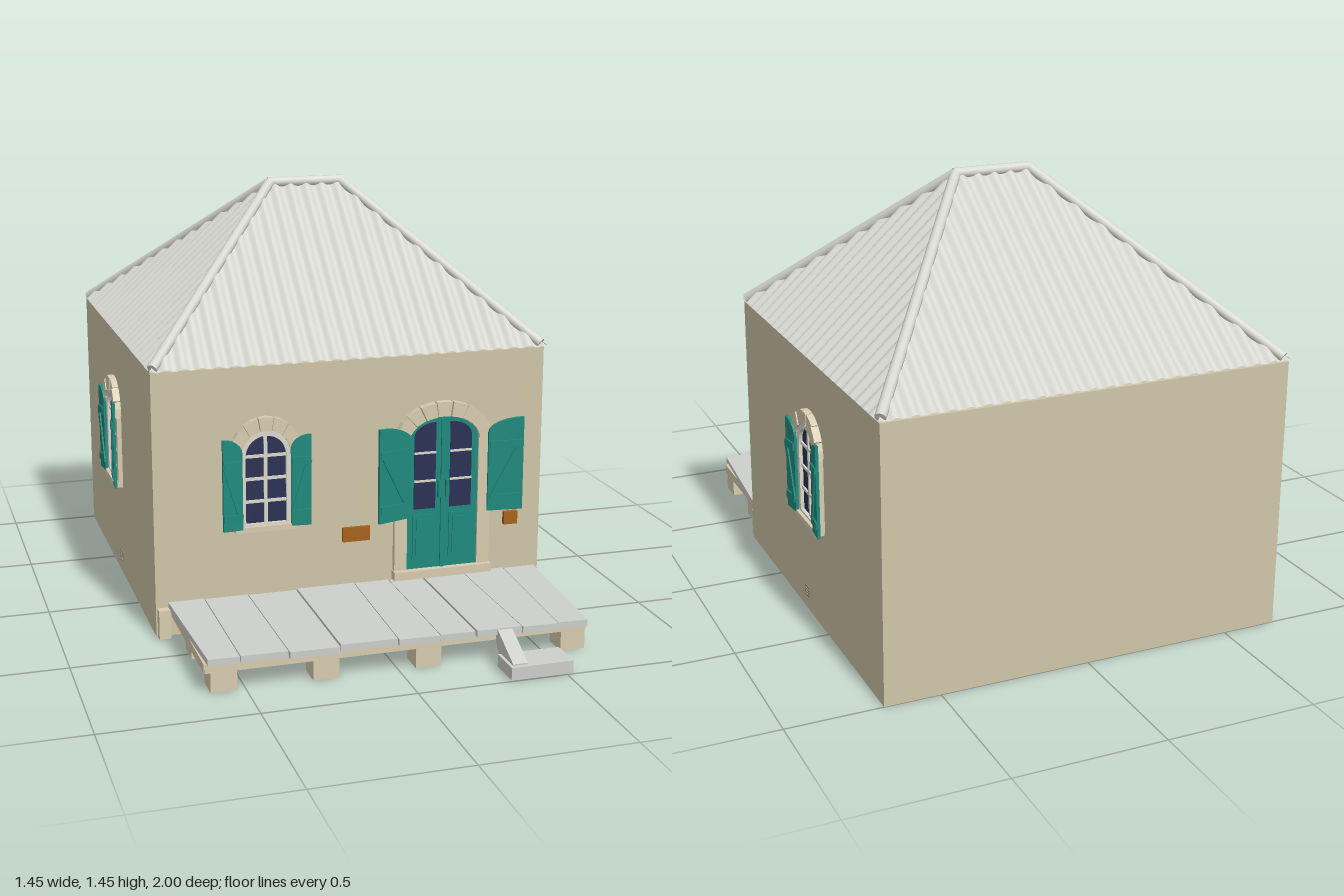
import * as THREE from 'three';

const mat = (name, color, side = THREE.FrontSide) => {
  const m = new THREE.MeshStandardMaterial({ color, side });
  m.name = name;
  return m;
};

export function createModel() {
  const M = {
    plaster: mat('plaster', 0xcfc5a8),
    stone: mat('trimStone', 0xd8ccb0),
    roof: mat('roofMetal', 0xd8d8d3, THREE.DoubleSide),
    teal: mat('tealPaint', 0x1f8a7d),
    glass: mat('glass', 0x2b3154),
    white: mat('windowPaint', 0xdcd8cc),
    deck: mat('deckWood', 0xcdcfcc),
    brown: mat('signWood', 0xa8621c),
    vent: mat('ventGrey', 0x857f74),
  };
  const model = new THREE.Group();
  model.name = 'cottage';

  // ---- helpers ----
  const add = (parent, name, geo, material, x = 0, y = 0, z = 0) => {
    const m = new THREE.Mesh(geo, material);
    m.name = name;
    m.position.set(x, y, z);
    parent.add(m);
    return m;
  };
  const group = (parent, name, x = 0, y = 0, z = 0, ry = 0) => {
    const g = new THREE.Group();
    g.name = name;
    g.position.set(x, y, z);
    g.rotation.y = ry;
    parent.add(g);
    return g;
  };
  const box = (parent, name, material, w, h, d, x, y, z) =>
    add(parent, name, new THREE.BoxGeometry(w, h, d), material, x, y, z);
  const V = (x, y, z) => new THREE.Vector3(x, y, z);
  const shape = (pts) => new THREE.Shape(pts.map(([x, y]) => new THREE.Vector2(x, y)));
  const extrude = (s, depth) => new THREE.ExtrudeGeometry(s, { depth, bevelEnabled: false });
  const rect = (x0, y0, x1, y1) => [[x0, y0], [x1, y0], [x1, y1], [x0, y1]];

  // Arched outline: width, total height, rise of the elliptical top
  const archPts = (w, h, rise, y0 = 0) => {
    const pts = [[-w / 2, y0], [w / 2, y0]];
    for (let i = 0; i <= 16; i++) {
      const a = (i / 16) * Math.PI;
      pts.push([(w / 2) * Math.cos(a), h - rise + rise * Math.sin(a)]);
    }
    return pts;
  };
  const ring = (outer, inner) => {
    const s = shape(outer);
    s.holes.push(shape(inner));
    return s;
  };
  // Half-arch leaf: low at x = 0, tall at the far edge, growing toward d
  const leafPts = (w, h, drop, d) => {
    const pts = [[0, 0], [d * w, 0]];
    for (let i = 0; i <= 6; i++) {
      const a = Math.PI / 2 * (1 - i / 6);
      pts.push([d * w * (1 - Math.cos(a)), h - drop + drop * Math.sin(a)]);
    }
    return pts;
  };
  // Wedge stones between two concentric arches, each [width, height, rise]
  const archStones = (parent, n, inner, outer, depth) => {
    const at = ([w, h, r], a) => [(w / 2) * Math.cos(a), h - r + r * Math.sin(a)];
    for (let i = 0; i < n; i++) {
      const a0 = (i / n) * Math.PI + 0.012, a1 = ((i + 1) / n) * Math.PI - 0.012, am = (a0 + a1) / 2;
      const s = shape([at(inner, a0), at(outer, a0), at(outer, am), at(outer, a1), at(inner, a1), at(inner, am)]);
      add(parent, 'archStone', extrude(s, depth + (i % 2) * 0.003), M.stone);
    }
  };
  // Shutter with rails and a diagonal brace
  const shutter = (parent, x, y, z, d, w, h, drop, angle) => {
    const g = group(parent, 'shutter', x, y, z, -d * angle);
    add(g, 'shutterLeaf', extrude(shape(leafPts(w, h, drop, d)), 0.01), M.teal);
    const y0 = h * 0.14, y1 = h * 0.72, run = w * 0.8;
    for (const ry of [y0, y1]) box(g, 'shutterRail', M.teal, w * 0.92, 0.026, 0.006, d * w / 2, ry, 0.012);
    const b = box(g, 'shutterBrace', M.teal, Math.hypot(run, y1 - y0), 0.018, 0.006, d * w / 2, (y0 + y1) / 2, 0.012);
    b.rotation.z = d * Math.atan2(y1 - y0, run);
  };

  // ---- walls: hollow shell, open underneath ----
  const wallGeo = extrude(ring(rect(-0.685, -1, 0.685, 0.325), rect(-0.66, -0.975, 0.66, 0.3)), 0.905);
  add(model, 'walls', wallGeo.rotateX(Math.PI / 2), M.plaster, 0, 0.905, 0);

  // ---- corrugated hip roof ----
  const roof = group(model, 'roof');
  const EX = 0.688, ZF = 0.33, ZB = -0.995, EY = 0.908, RX = 0.13, RY = 1.428, RZ = -0.258;
  const roofPanel = (name, origin, along, up, s0, a, b, s1) => {
    const normal = along.clone().cross(up).normalize();
    const n = Math.round((s1 - s0) / 0.0575) * 8, pos = [], idx = [];
    for (let i = 0; i <= n; i++) {
      const s = s0 + (s1 - s0) * (i / n);
      const t = Math.max(0, Math.min(1, (s - s0) / (a - s0), (s1 - s) / (s1 - b)));
      const wave = 0.007 * Math.cos((i / 8) * Math.PI * 2);
      for (const k of [0, t]) {
        const p = origin.clone().addScaledVector(along, s).addScaledVector(up, k).addScaledVector(normal, wave);
        pos.push(p.x, p.y, p.z);
      }
      if (i < n) idx.push(2 * i, 2 * i + 2, 2 * i + 3, 2 * i, 2 * i + 3, 2 * i + 1);
    }
    const g = new THREE.BufferGeometry();
    g.setAttribute('position', new THREE.Float32BufferAttribute(pos, 3));
    g.setIndex(idx);
    g.computeVertexNormals();
    add(roof, name, g, M.roof);
  };
  const rise = RY - EY;
  roofPanel('frontRoof', V(0, EY, ZF), V(1, 0, 0), V(0, rise, RZ - ZF), -EX, -RX, RX, EX);
  roofPanel('backRoof', V(0, EY, ZB), V(-1, 0, 0), V(0, rise, RZ - ZB), -EX, -RX, RX, EX);
  roofPanel('leftRoof', V(EX, EY, 0), V(0, 0, -1), V(RX - EX, rise, 0), -ZF, -RZ, -RZ, -ZB);
  roofPanel('rightRoof', V(-EX, EY, 0), V(0, 0, 1), V(EX - RX, rise, 0), ZB, RZ, RZ, ZF);

  // Rounded caps over the hips and ridge
  const cap = (name, p, q) => {
    const c = add(roof, name, new THREE.CylinderGeometry(0.018, 0.018, p.distanceTo(q), 10), M.roof);
    c.position.copy(p).add(q).multiplyScalar(0.5);
    c.quaternion.setFromUnitVectors(V(0, 1, 0), q.clone().sub(p).normalize());
  };
  for (const sx of [-1, 1]) for (const z of [ZF - 0.012, ZB + 0.012])
    cap('hipCap', V(sx * (EX - 0.012), EY + 0.008, z), V(sx * RX, RY, RZ));
  cap('ridgeCap', V(-RX - 0.008, RY, RZ), V(RX + 0.008, RY, RZ));

  // ---- arched windows with shutters ----
  const windowUnit = (name, x, z, ry) => {
    const g = group(model, name, x, 0.355, z, ry);
    add(g, 'glass', extrude(shape(archPts(0.15, 0.32, 0.075)), 0.006), M.glass);
    add(g, 'windowFrame', extrude(ring(archPts(0.172, 0.332, 0.086), archPts(0.14, 0.316, 0.07, 0.014)), 0.018), M.white);
    box(g, 'mullion', M.white, 0.012, 0.31, 0.008, 0, 0.162, 0.008);
    for (const y of [0.09, 0.168, 0.246]) box(g, 'glazingBar', M.white, 0.145, 0.01, 0.008, 0, y, 0.008);
    archStones(g, 7, [0.174, 0.333, 0.087], [0.245, 0.38, 0.125], 0.022);
    box(g, 'sill', M.stone, 0.22, 0.018, 0.03, 0, -0.002, 0.015);
    for (const d of [-1, 1]) {
      box(g, 'jamb', M.stone, 0.03, 0.25, 0.016, d * 0.102, 0.125, 0.008);
      shutter(g, d * 0.084, 0, 0.02, d, 0.068, 0.315, 0.05, 0.1);
    }
  };
  windowUnit('frontWindow', -0.307, 0.325, 0);
  windowUnit('leftWindow', 0.685, -0.375, Math.PI / 2);
  windowUnit('rightWindow', -0.685, -0.375, -Math.PI / 2);

  // ---- double door ----
  const door = group(model, 'door', 0.318, 0.15, 0.325);
  add(door, 'doorLeaves', extrude(shape(archPts(0.256, 0.54, 0.085)), 0.012), M.teal);
  archStones(door, 9, [0.258, 0.541, 0.086], [0.345, 0.592, 0.13], 0.026);
  box(door, 'threshold', M.stone, 0.355, 0.03, 0.035, 0, -0.015, 0.0175);
  box(door, 'centreStile', M.teal, 0.014, 0.53, 0.006, 0, 0.265, 0.015);
  for (const d of [-1, 1]) {
    box(door, 'doorJamb', M.stone, 0.045, 0.46, 0.018, d * 0.151, 0.23, 0.009);
    add(door, 'doorGlass', extrude(shape(leafPts(0.078, 0.305, 0.05, -d)), 0.003), M.glass, d * 0.104, 0.215, 0.0115);
    for (const y of [0.315, 0.415]) box(door, 'doorGlazingBar', M.white, 0.078, 0.008, 0.006, d * 0.065, y, 0.014);
    box(door, 'doorPanel', M.teal, 0.084, 0.16, 0.006, d * 0.066, 0.115, 0.014);
    box(door, 'doorPanelField', M.teal, 0.06, 0.13, 0.006, d * 0.066, 0.115, 0.018);
    box(door, 'doorHandle', M.teal, 0.01, 0.06, 0.012, d * 0.014, 0.285, 0.02);
  }
  shutter(door, -0.128, 0.195, 0.028, -1, 0.128, 0.33, 0.05, 0.3);
  shutter(door, 0.158, 0.195, 0.028, 1, 0.125, 0.33, 0.05, 0.1);

  // ---- plaques and side vents ----
  box(model, 'plaque', M.brown, 0.096, 0.05, 0.012, 0.01, 0.296, 0.331);
  box(model, 'letterBox', M.brown, 0.05, 0.046, 0.016, 0.573, 0.303, 0.333);
  for (const d of [-1, 1]) {
    box(model, 'vent', M.vent, 0.006, 0.036, 0.04, d * 0.688, 0.07, -0.305);
    for (const y of [0.06, 0.07, 0.08]) box(model, 'ventSlat', M.stone, 0.008, 0.004, 0.03, d * 0.688, y, -0.305);
  }

  // ---- deck of uneven planks on beams and blocks ----
  const deck = group(model, 'deck');
  const back = [-0.645, -0.52, -0.37, -0.2, 0.005, 0.13, 0.25, 0.4, 0.555, 0.672];
  const front = [-0.625, -0.52, -0.365, -0.2, -0.01, 0.13, 0.25, 0.405, 0.53, 0.635];
  const ends = [0.832, 0.828, 0.838, 0.835, 0.845, 0.84, 0.85, 0.856, 0.85];
  ends.forEach((z, i) => {
    const s = shape([[back[i] + 0.002, 0.326], [back[i + 1] - 0.002, 0.326], [front[i + 1] - 0.002, z + 0.004], [front[i] + 0.002, z]]);
    add(deck, 'plank', extrude(s, 0.022).rotateX(Math.PI / 2), M.deck, 0, 0.118 - (i % 3) * 0.002, 0);
  });
  box(deck, 'frontBeam', M.stone, 1.27, 0.03, 0.04, 0.005, 0.082, 0.8);
  box(deck, 'rearBeam', M.stone, 1.27, 0.03, 0.04, 0.005, 0.082, 0.5);
  for (const x of [-0.615, 0.63]) box(deck, 'sideBeam', M.stone, 0.035, 0.03, 0.49, x, 0.082, 0.57);
  const blocks = [[0.6, 0.775], [0.1, 0.775], [-0.24, 0.775], [-0.57, 0.775], [0.6, 0.5], [0.1, 0.5], [-0.57, 0.5]];
  for (const [x, z] of blocks) box(deck, 'footing', M.stone, 0.085, 0.07, 0.085, x, 0.035, z);
  for (const x of [-0.66, 0.66]) box(deck, 'wallPost', M.stone, 0.04, 0.1, 0.03, x, 0.05, 0.34);

  // ---- step with sloping stringer ----
  const step = group(model, 'step');
  box(step, 'tread', M.deck, 0.21, 0.042, 0.115, 0.415, 0.024, 0.942);
  const side = shape([[0.84, 0.075], [0.885, 0.01], [0.985, 0.01], [0.985, 0.05], [0.855, 0.114], [0.84, 0.114]]);
  add(step, 'stringer', extrude(side, 0.05).rotateY(-Math.PI / 2), M.deck, 0.37, 0, 0);

  return model;
}
